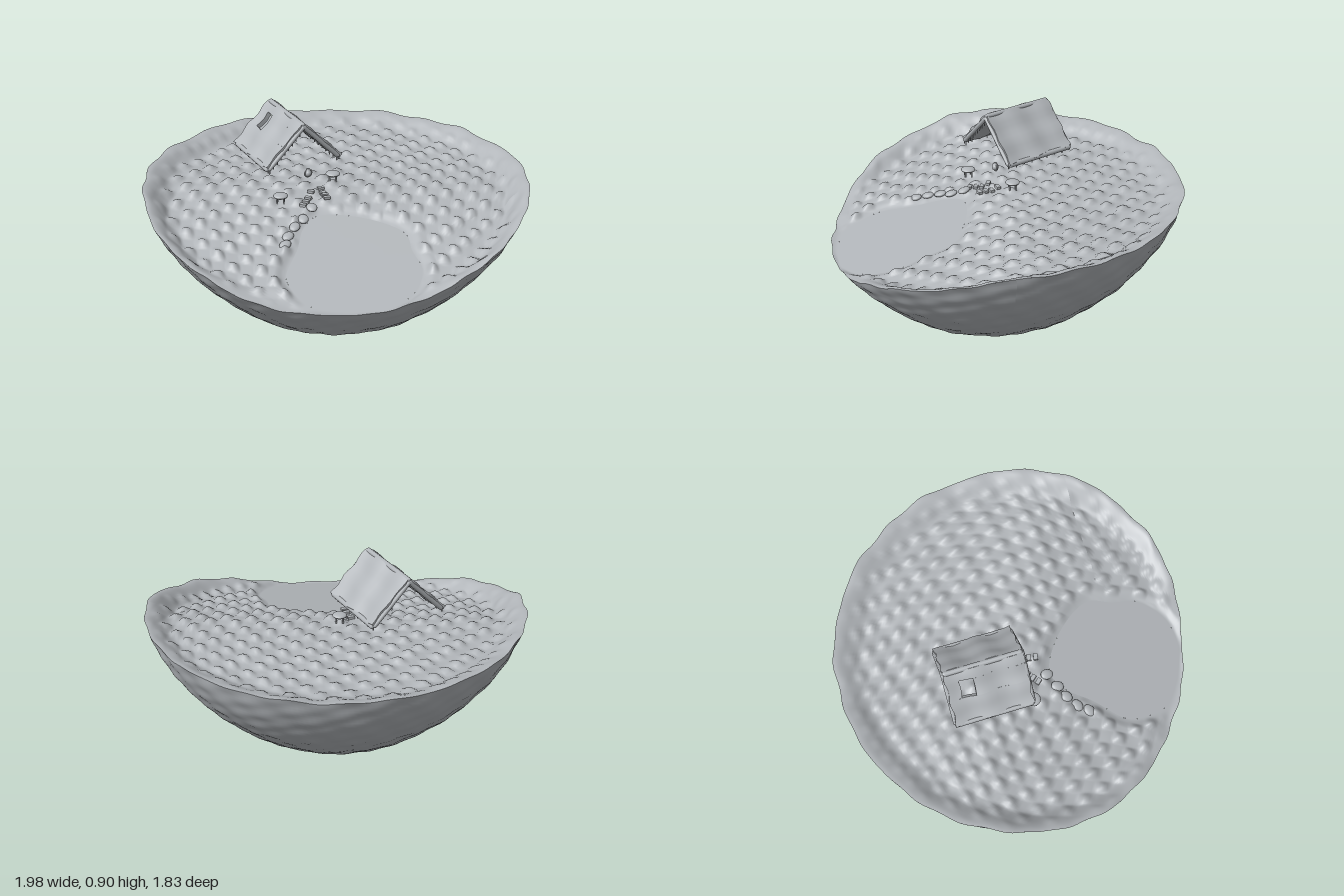
import * as THREE from 'three';
import { ParametricGeometry } from 'three/addons/geometries/ParametricGeometry.js';

const TAU = Math.PI * 2, CZ = 0.075;
const { sin, cos, min, max, hypot, atan2 } = Math;
const lerp = THREE.MathUtils.lerp;
const smooth = (t) => THREE.MathUtils.smoothstep(t, 0, 1);

// piecewise-linear lookup through [key, value] pairs
function lookup(table, k) {
  for (let i = 1; i < table.length; i++) {
    const [a, p] = table[i - 1], [b, q] = table[i];
    if (k <= b) return lerp(p, q, max(0, (k - a) / (b - a)));
  }
  return table[table.length - 1][1];
}
const bowlProfile = [[0, 0.55], [0.1, 0.67], [0.23, 0.795], [0.33, 0.87], [0.43, 0.93], [0.52, 0.97], [0.6, 0.995]];
const rimProfile = [[-0.95, 0.59], [-0.3, 0.59], [0, 0.59], [0.2, 0.56], [0.4, 0.505], [0.6, 0.445], [0.75, 0.385], [0.85, 0.3], [0.93, 0.27]];

function bowlRadius(y, a) {
  const lumps = sin(17 * a + 25 * y) * sin(40 * y + 5 * a) + 0.7 * sin(29 * a - 31 * y);
  return lookup(bowlProfile, y) + 0.004 * lumps;
}
// point on the rim at angle a
function rimPoint(a) {
  let r = 0.95, y = 0.5;
  for (let i = 0; i < 8; i++) {
    y = lookup(rimProfile, CZ + r * sin(a)) + 0.004 * sin(13 * a) + 0.004 * sin(23 * a + 1);
    r = bowlRadius(y, a);
  }
  return new THREE.Vector3(r * cos(a), y, CZ + r * sin(a));
}

// pond outline as radius by angle about its centre
const PX = 0.11, PZ = 0.55, BINS = 720;
const outline = new THREE.CatmullRomCurve3([
  [-0.09, 0.21], [0.14, 0.22], [0.35, 0.33], [0.385, 0.46], [0.43, 0.59], [0.385, 0.75], [0.27, 0.845],
  [0.11, 0.875], [-0.1, 0.845], [-0.19, 0.74], [-0.225, 0.65], [-0.18, 0.46], [-0.155, 0.3],
].map(([x, z]) => new THREE.Vector3(x - PX, 0, z - PZ)), true);
const pondRadii = [];
for (const p of outline.getPoints(6000)) {
  pondRadii[Math.round((atan2(p.z, p.x) + TAU) / TAU * BINS) % BINS] = hypot(p.x, p.z);
}
function pondRadius(a) {
  const t = ((a / TAU + 2) % 1) * BINS, i = Math.floor(t);
  return lerp(pondRadii[i % BINS], pondRadii[(i + 1) % BINS], t - i);
}
const pondY = (z) => 0.5 - 0.25 * z;

// rolling meadow height
function meadowY(x, z) {
  const base = z > 0 ? 0.515 - 0.245 * z : 0.515 - 0.025 * z;
  const tufts = max(0, sin(46 * x + 1.5 * sin(7 * z)) * sin(44 * z + 1.2 * sin(6 * x)));
  return base + 0.024 * tufts + 0.005 * sin(21 * x + 9 * z) * sin(17 * z - 5 * x);
}

function sheet(f, nu, nv) {
  const geo = new ParametricGeometry(f, nu, nv);
  geo.computeVertexNormals();
  return geo;
}

export function createModel() {
  const root = new THREE.Group();
  root.name = 'floatingIsland';
  const stone = new THREE.MeshStandardMaterial({ color: 0xb2b6ba, side: THREE.DoubleSide });
  stone.name = 'plain grey';
  const add = (name, geo, parent = root, x = 0, y = 0, z = 0) => {
    const mesh = new THREE.Mesh(geo, stone);
    mesh.name = name;
    mesh.position.set(x, y, z);
    parent.add(mesh);
    return mesh;
  };

  // open-bottomed bowl, from the rim down
  add('bowl', sheet((u, v, out) => {
    const a = u * TAU, foot = 0.008 + 0.008 * sin(9 * a) * sin(4 * a);
    const y = lerp(rimPoint(a).y, foot, v), r = bowlRadius(y, a);
    out.set(r * cos(a), y, CZ + r * sin(a));
  }, 240, 36));

  // meadow stretched between the pond bank and the rim
  add('meadow', sheet((u, v, out) => {
    const rim = rimPoint(u * TAU);
    const a = atan2(rim.z - PZ, rim.x - PX), r = pondRadius(a);
    const ix = PX + r * cos(a), iz = PZ + r * sin(a);
    const len = hypot(rim.x - ix, rim.z - iz);
    const x = lerp(ix, rim.x, v), z = lerp(iz, rim.z, v);
    let y = lerp(meadowY(x, z), rim.y, smooth(1 - (1 - v) * len / 0.16));
    y = lerp(pondY(z), y, smooth(v * len / min(0.06, len)));
    out.set(x, y, z);
  }, 260, 80));

  // flat water surface
  add('pond', sheet((u, v, out) => {
    const a = u * TAU, r = pondRadius(a) * max(v, 0.001);
    const z = PZ + r * sin(a);
    out.set(PX + r * cos(a), pondY(z), z);
  }, 120, 2));

  // roof: local z runs along the ridge, slopes fall to both sides
  const roof = new THREE.Group();
  roof.name = 'roof';
  roof.position.set(-0.26, 0.885, -0.1);
  roof.rotation.y = atan2(0.48, 0.87);
  root.add(roof);
  const HALF = 0.2, SLOPE = 0.285;
  // panel from s0 to s1 down the slope and z0 to z1 along the ridge, gently warped
  const panel = (parent, s0, s1, z0, z1) => {
    const geo = new THREE.BoxGeometry(s1 - s0, 0.024, z1 - z0, 10, 1, 12);
    geo.translate((s0 + s1) / 2, 0, (z0 + z1) / 2);
    const p = geo.attributes.position;
    for (let i = 0; i < p.count; i++) {
      const s = p.getX(i), z = p.getZ(i);
      p.setY(i, p.getY(i) + 0.006 * sin(32 * z + 5 * s) + 0.003 * sin(45 * s));
      p.setZ(i, z * (1 + 0.025 * sin(50 * s)));
      p.setX(i, s + 0.02 * s * sin(38 * z));
    }
    geo.computeVertexNormals();
    add('roofPanel', geo, parent);
  };
  for (const side of [-1, 1]) {
    const slope = new THREE.Group();
    slope.name = side < 0 ? 'rightSlope' : 'leftSlope';
    slope.rotation.order = 'YXZ';
    slope.rotation.set(0, side < 0 ? Math.PI : 0, -Math.PI / 4);
    roof.add(slope);
    if (side > 0) panel(slope, 0, SLOPE, -HALF, HALF);
    else {
      // skylight opening between four panels
      panel(slope, 0, 0.055, -HALF, HALF);
      panel(slope, 0.15, SLOPE, -HALF, HALF);
      panel(slope, 0.055, 0.15, -HALF, 0.065);
      panel(slope, 0.055, 0.15, 0.135, HALF);
    }
    // rounded eave and the gable boards
    add('eave', new THREE.CapsuleGeometry(0.014, 2 * HALF - 0.02, 4, 10).rotateX(Math.PI / 2), slope, SLOPE, 0, 0);
    for (const end of [-HALF, HALF]) {
      add('gableBoard', new THREE.CapsuleGeometry(0.012, SLOPE - 0.02, 4, 8).rotateZ(Math.PI / 2), slope, SLOPE / 2, -0.004, end);
    }
    // short fringe pegs under the eave and the front gable
    for (let i = 0; i < 9; i++) {
      const peg = () => new THREE.CylinderGeometry(0.004, 0.003, 0.025, 6);
      add('eavePeg', peg(), roof, side * 0.2, -0.208 - 0.006 * (i % 2), lerp(-HALF, HALF, i / 8));
      const t = lerp(0.02, 0.19, i / 8);
      add('gablePeg', peg(), roof, side * t, -t - 0.025, HALF - 0.004);
    }
  }
  add('ridge', new THREE.CapsuleGeometry(0.014, 2 * HALF - 0.02, 4, 10).rotateX(Math.PI / 2), roof, 0, 0.001, 0);

  // stepping stones beside the pond
  for (const [x, z] of [[-0.12, 0.2], [-0.16, 0.265], [-0.2, 0.32], [-0.23, 0.385], [-0.24, 0.45]]) {
    const s = add('steppingStone', new THREE.SphereGeometry(0.034, 16, 10), root, x, meadowY(x, z) + 0.004, z);
    s.scale.set(1, 0.4, 0.8);
    s.rotation.set(0.25, x * 9, 0);
  }

  // two rows of small steps below the gable
  for (const [x0, z0, x1, z1] of [[-0.13, 0.07, -0.165, 0.165], [-0.08, 0.025, -0.045, 0.125]]) {
    for (let i = 0; i < 4; i++) {
      const x = lerp(x0, x1, i / 3), z = lerp(z0, z1, i / 3);
      add('step', new THREE.BoxGeometry(0.034, 0.014, 0.022), root, x, meadowY(x, z) + 0.01, z)
        .rotation.y = atan2(x1 - x0, z1 - z0);
    }
  }

  // little round tables on legs
  for (const [x, y, z] of [[-0.28, 0.535, 0.16], [-0.02, 0.57, -0.045]]) {
    const table = new THREE.Group();
    table.name = 'roundTable';
    table.position.set(x, y, z);
    root.add(table);
    add('tableTop', new THREE.SphereGeometry(0.038, 18, 10), table).scale.y = 0.35;
    for (let i = 0; i < 4; i++) {
      const a = (i + 0.5) * TAU / 4;
      add('tableLeg', new THREE.CylinderGeometry(0.005, 0.005, 0.035, 6), table, 0.024 * cos(a), -0.02, 0.024 * sin(a));
    }
  }

  // hanging lantern
  const lantern = new THREE.Group();
  lantern.name = 'lantern';
  lantern.position.set(-0.145, 0.605, 0.03);
  root.add(lantern);
  add('lanternGlobe', new THREE.SphereGeometry(0.018, 14, 10), lantern);
  add('lanternBand', new THREE.TorusGeometry(0.02, 0.004, 6, 18), lantern).rotation.y = 0.5;
  add('lanternCap', new THREE.CylinderGeometry(0.008, 0.014, 0.012, 10), lantern, 0, 0.02, 0);

  return root;
}
